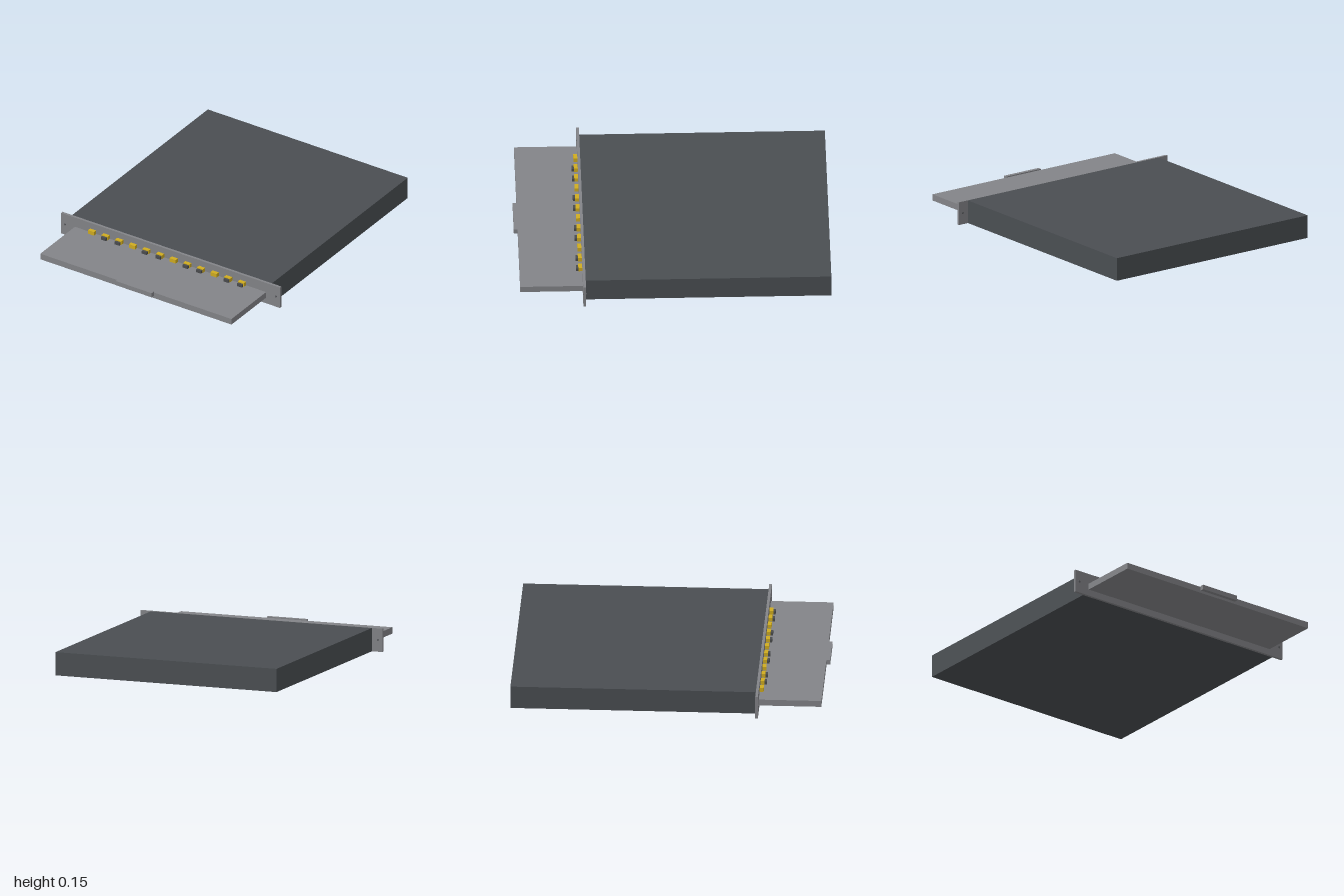
import * as THREE from 'three';

const mat = (name, color) => {
  const m = new THREE.MeshStandardMaterial({ color });
  m.name = name;
  return m;
};

export function createModel() {
  const charcoal = mat('charcoal', 0x4a4e52);
  const grey = mat('panel grey', 0x838488);
  const gold = mat('gold', 0xd0ac20);
  const plugDark = mat('plug dark', 0x4a4c4e);
  const screwGrey = mat('screw grey', 0x5c5e62);

  const model = new THREE.Group();
  model.name = 'rackDrawer';

  // Box given by its x centre, width, and its y and z ranges
  const box = (name, material, x, width, y0, y1, z0, z1) => {
    const mesh = new THREE.Mesh(new THREE.BoxGeometry(width, y1 - y0, z1 - z0), material);
    mesh.name = name;
    mesh.position.set(x, (y0 + y1) / 2, (z0 + z1) / 2);
    model.add(mesh);
    return mesh;
  };

  // Chassis, front flange, pulled-out tray and its handle
  box('chassis', charcoal, 0, 1.522, 0, 0.15, -1, 0.56);
  box('frontPanel', grey, 0, 1.666, 0, 0.151, 0.56, 0.577);
  box('tray', grey, 0, 1.456, 0.042, 0.083, 0.577, 0.975);
  box('handle', grey, 0, 0.274, 0.059, 0.09, 0.975, 1);

  // Screws through the flange ears
  for (const side of [-1, 1]) {
    const screw = new THREE.Mesh(new THREE.CylinderGeometry(0.007, 0.007, 0.023, 12), screwGrey);
    screw.name = 'screw';
    screw.rotation.x = Math.PI / 2;
    screw.position.set(side * 0.803, 0.076, 0.5685);
    model.add(screw);
  }

  // Row of twelve adapters; every third one is left empty
  for (let i = 0; i < 12; i++) {
    const x = -0.589 + i * 0.1037;
    box('adapter', gold, x, 0.046, 0.083, 0.109, 0.577, 0.602);
    if (i % 3 !== 0) box('plug', plugDark, x, 0.037, 0.083, 0.103, 0.602, 0.617);
  }

  return model;
}
